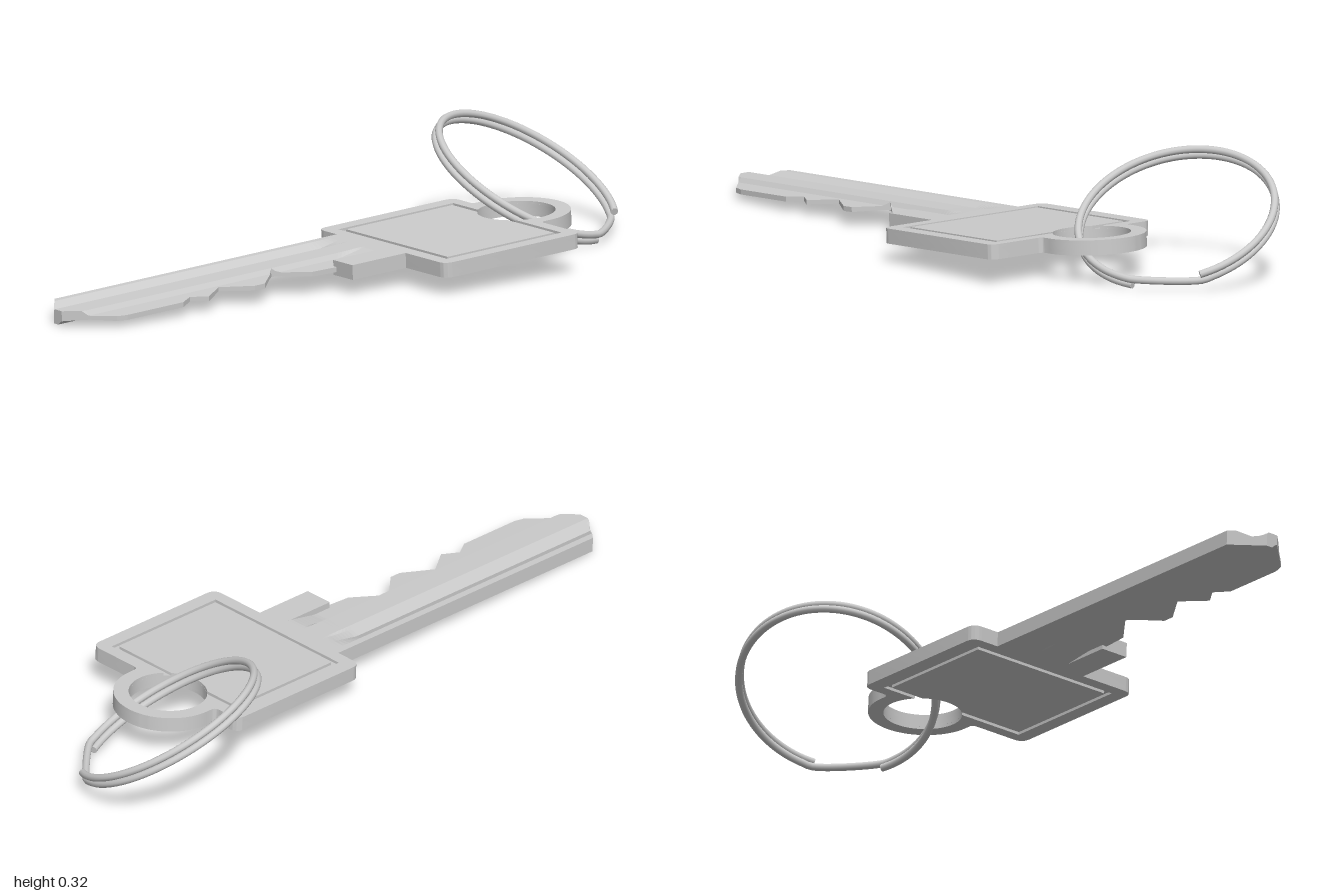
import * as THREE from 'three';
import { toCreasedNormals } from 'three/addons/utils/BufferGeometryUtils.js';

const THICK = 0.042, GROOVE = 0.008;
const HOLE = { x: 0.5625, z: 0.048, r: 0.108 };
const mat = new THREE.MeshStandardMaterial({ color: 0xcccccc });

function mesh(name, geometry) {
  const m = new THREE.Mesh(geometry, mat);
  m.name = name;
  return m;
}

// Extrude a plan shape (x, z) downward from a given top height
function slab(name, shape, top, depth) {
  const g = new THREE.ExtrudeGeometry(shape, { depth, bevelEnabled: false, curveSegments: 24 });
  g.rotateX(Math.PI / 2).translate(0, top, 0);
  return mesh(name, toCreasedNormals(g, 0.6));
}

// Square bow with rounded corners and a round eye on its right edge
function bowOutline() {
  const x0 = 0.056, x1 = 0.53, z0 = -0.19, z1 = 0.375, r = 0.03;
  const s = new THREE.Shape();
  s.moveTo(x0 + r, z0);
  s.lineTo(x1 - r, z0);
  s.quadraticCurveTo(x1, z0, x1, z0 + r);
  s.lineTo(x1, HOLE.z - 0.165);
  s.quadraticCurveTo(x1, HOLE.z - 0.15, x1 + 0.015, HOLE.z - 0.15);
  s.absarc(HOLE.x, HOLE.z, 0.15, -Math.PI / 2, Math.PI / 2, false);
  s.lineTo(x1 + 0.015, HOLE.z + 0.15);
  s.quadraticCurveTo(x1, HOLE.z + 0.15, x1, HOLE.z + 0.165);
  s.lineTo(x1, z1 - r);
  s.quadraticCurveTo(x1, z1, x1 - r, z1);
  s.lineTo(x0 + r, z1);
  s.quadraticCurveTo(x0, z1, x0, z1 - r);
  s.lineTo(x0, z0 + r);
  s.quadraticCurveTo(x0, z0, x0 + r, z0);
  return s;
}

// Rectangle whose right edge follows the eye: bulging around it or notched by it
function panelPath(path, x0, x1, z0, z1, notched) {
  const a = Math.acos((x1 - HOLE.x) / HOLE.r);
  path.moveTo(x0, z0);
  path.lineTo(x1, z0);
  path.absarc(HOLE.x, HOLE.z, HOLE.r, -a, a, notched);
  path.lineTo(x1, z1);
  path.lineTo(x0, z1);
  path.closePath();
  return path;
}

function makeBow() {
  const bow = new THREE.Group();
  bow.name = 'bow';
  const core = bowOutline();
  core.holes.push(new THREE.Path().absarc(HOLE.x, HOLE.z, HOLE.r, 0, Math.PI * 2, true));
  bow.add(slab('bowCore', core, THICK - GROOVE, THICK - 2 * GROOVE));

  const frame = bowOutline();
  frame.holes.push(panelPath(new THREE.Path(), 0.094, 0.495, -0.145, 0.333, false));
  const panel = panelPath(new THREE.Shape(), 0.109, 0.48, -0.13, 0.318, true);
  for (const [side, top] of [['Top', THICK], ['Bottom', GROOVE]]) {
    bow.add(slab('frame' + side, frame, top, GROOVE));
    bow.add(slab('panel' + side, panel, top, GROOVE));
  }
  return bow;
}

// Piecewise linear lookup in a list of [position, value]
function lookup(table, t) {
  if (t <= table[0][0]) return table[0][1];
  for (let i = 1; i < table.length; i++) {
    const [a, va] = table[i - 1], [b, vb] = table[i];
    if (t <= b) return va + (vb - va) * (t - a) / (b - a);
  }
  return table[table.length - 1][1];
}

// Blade: milled cross-section swept along x, trimmed by the back edge and the teeth
function makeBlade() {
  const topH = [[-0.105, 0.042], [-0.085, 0.042], [-0.05, 0.025], [-0.022, 0.033], [-0.015, 0.041],
    [0.055, 0.04], [0.065, 0.027], [0.13, 0.024]];
  const lowH = [[-0.105, 0], [-0.002, 0], [0.012, 0.012], [0.07, 0.016], [0.13, 0.01]];
  const back = [[-1, -0.02], [-0.93, -0.105], [0.07, -0.105]];
  const teeth = [[-1, 0.015], [-0.89, 0.12], [-0.86, 0.128], [-0.665, 0.128], [-0.62, 0.1], [-0.575, 0.128],
    [-0.5, 0.075], [-0.415, 0.128], [-0.38, 0.128], [-0.3, 0.055], [-0.21, 0.122], [-0.13, 0.128], [0.07, 0.128]];
  const xs = [...new Set([...back, ...teeth].map(p => p[0]))];
  for (let i = 1; i < 80; i++) xs.push(-1 + i * 1.07 / 80);
  xs.sort((a, b) => a - b);

  const ring = x => {
    const zMin = lookup(back, x), zMax = lookup(teeth, x);
    const fade = THREE.MathUtils.clamp((x + 0.07) / 0.09, 0, 1); // grooves run out at the bow
    const point = (table, full) => ([z]) => {
      const c = THREE.MathUtils.clamp(z, zMin, zMax);
      return [x, THREE.MathUtils.lerp(lookup(table, c), full, fade), c];
    };
    return [...topH.map(point(topH, THICK)), ...[...lowH].reverse().map(point(lowH, 0))];
  };
  const rings = xs.map(ring), n = rings[0].length, pos = [];
  const tri = (a, b, c) => pos.push(...a, ...b, ...c);
  for (let i = 0; i + 1 < rings.length; i++) {
    for (let j = 0; j < n; j++) {
      const k = (j + 1) % n, A = rings[i], B = rings[i + 1];
      tri(A[j], A[k], B[j]);
      tri(A[k], B[k], B[j]);
    }
  }
  // End cap at the tip, stitched between upper and lower profiles
  const tip = rings[0], upper = tip.slice(0, topH.length), lower = tip.slice(topH.length).reverse();
  let i = 0, j = 0;
  while (i < upper.length - 1 || j < lower.length - 1) {
    if (j === lower.length - 1 || (i < upper.length - 1 && upper[i + 1][2] <= lower[j + 1][2])) {
      tri(upper[i], lower[j], upper[i + 1]);
      i++;
    } else {
      tri(upper[i], lower[j], lower[j + 1]);
      j++;
    }
  }
  const g = new THREE.BufferGeometry();
  g.setAttribute('position', new THREE.Float32BufferAttribute(pos, 3));
  g.computeVertexNormals();
  return mesh('blade', g);
}

// Two-turn split ring with a crossing strand between its free ends
function makeSplitRing() {
  const group = new THREE.Group();
  group.name = 'splitRing';
  const R = 0.274, wire = 0.0105, A = -0.15, B = 0.57, TAU = Math.PI * 2;
  const centre = new THREE.Vector3(0.724, 0.161, -0.12);
  const n = new THREE.Vector3(0.25, 0.857, 0.45).normalize();
  const down = new THREE.Vector3(0, -1, 0).projectOnPlane(n).normalize();
  const side = new THREE.Vector3().crossVectors(n, down);
  const at = (a, offset) => centre.clone().addScaledVector(down, R * Math.cos(a))
    .addScaledVector(side, R * Math.sin(a)).addScaledVector(n, offset);
  const pts = [], turn = 48;
  for (let i = 0; i <= turn; i++) pts.push(at(THREE.MathUtils.lerp(A, B - TAU, i / turn), -wire));
  for (let i = 0; i <= turn; i++) pts.push(at(THREE.MathUtils.lerp(A - TAU, B - 2 * TAU, i / turn), wire));
  const path = new THREE.CatmullRomCurve3(pts);
  group.add(mesh('ringWire', new THREE.TubeGeometry(path, 200, wire, 10)));
  for (const [t, sign] of [[0, -1], [1, 1]]) {
    const cap = mesh('wireEnd', new THREE.CircleGeometry(wire, 10));
    cap.position.copy(path.getPoint(t));
    cap.quaternion.setFromUnitVectors(new THREE.Vector3(0, 0, 1), path.getTangent(t).multiplyScalar(sign));
    group.add(cap);
  }
  return group;
}

export function createModel() {
  const model = new THREE.Group();
  model.name = 'keyWithRing';

  const key = new THREE.Group();
  key.name = 'key';
  key.add(makeBow(), makeBlade());
  // Shoulder stop beside the bow
  const shoulder = new THREE.Mesh(new THREE.BoxGeometry(0.19, THICK, 0.085), mat);
  shoulder.name = 'shoulder';
  shoulder.position.set(-0.035, THICK / 2, 0.157);
  key.add(shoulder);
  key.rotation.z = 0.047;
  key.position.y = 0.0502;

  model.add(key, makeSplitRing());
  return model;
}
